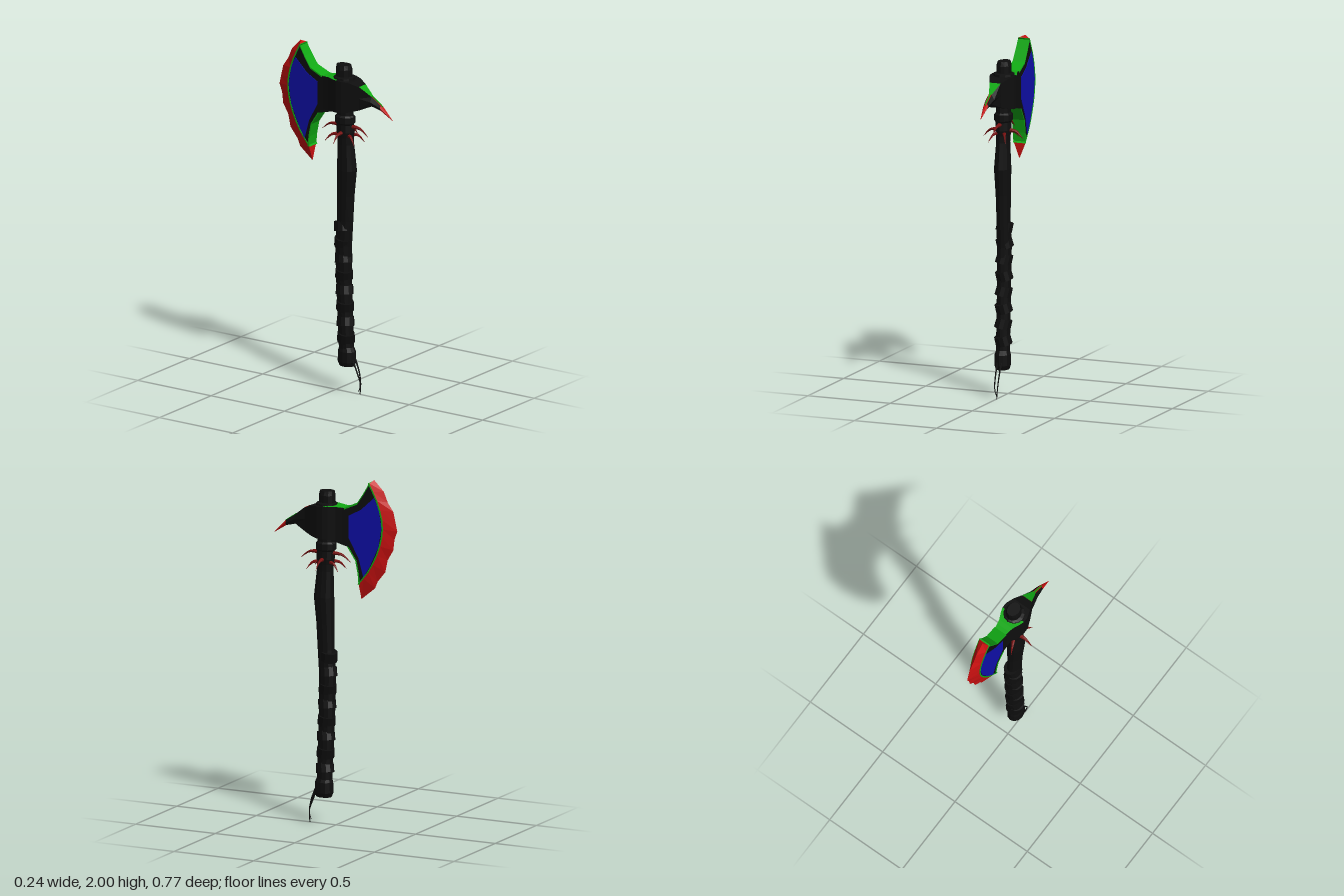
import * as THREE from 'three';

const mat = (name, color) => {
  const m = new THREE.MeshStandardMaterial({ color });
  m.name = name;
  return m;
};

export function createModel() {
  const black = mat('black', 0x0e0e0e);
  const green = mat('green', 0x11aa14);
  const red = mat('red', 0xc81010);
  const darkRed = mat('dark red', 0x781010);
  const blue = mat('blue', 0x0f0fa8);
  const palette = [black, green, red];
  const K = 0, G = 1, R = 2;

  const model = new THREE.Group();
  const add = (name, geometry, material, parent = model) => {
    const mesh = new THREE.Mesh(geometry, material);
    mesh.name = name;
    parent.add(mesh);
    return mesh;
  };

  // Flat-shaded skin through rings of [x, y, z]; paint(segment, side) picks a palette index
  function loft(rings, paint = () => K) {
    const pos = [], geo = new THREE.BufferGeometry();
    const tri = (...p) => p.forEach(v => pos.push(...v));
    const n = rings[0].length;
    for (let s = 0; s < rings.length - 1; s++) {
      for (let i = 0; i < n; i++) {
        const j = (i + 1) % n, a = rings[s], b = rings[s + 1];
        geo.addGroup(pos.length / 3, 6, paint(s, i));
        tri(a[i], b[i], b[j], a[i], b[j], a[j]);
      }
    }
    const last = rings[rings.length - 1];
    geo.addGroup(pos.length / 3, (n - 2) * 6, paint(0, 0));
    for (let i = 1; i < n - 1; i++) {
      tri(rings[0][0], rings[0][i], rings[0][i + 1]);
      tri(last[0], last[i + 1], last[i]);
    }
    geo.setAttribute('position', new THREE.Float32BufferAttribute(pos, 3));
    geo.computeVertexNormals();
    return geo;
  }

  // Blade half thickness thins toward the cutting edge
  const half = z => 0.029 + 0.035 * (z + 0.31);

  // Slab from a [z, y] outline, following the blade thickness
  function slab(points, extra = 0) {
    const shape = new THREE.Shape(points.map(([z, y]) => new THREE.Vector2(-z, y)));
    const geo = new THREE.ExtrudeGeometry(shape, { depth: 1, bevelEnabled: false });
    const p = geo.attributes.position;
    for (let i = 0; i < p.count; i++) {
      const z = -p.getX(i), side = p.getZ(i) > 0.5 ? 1 : -1;
      p.setXYZ(i, side * (half(z) + extra), p.getY(i), z);
    }
    geo.computeVertexNormals();
    return geo;
  }

  // Narrow band beside a [z, y] line
  const ribbon = (line, dz, dy) =>
    slab([...line, ...line.map(([z, y]) => [z + dz, y + dy]).reverse()], 0.003);

  // Handle: oval rings [y, centre z, radius x, radius z]
  const oval = ([y, zc, rx, rz]) => Array.from({ length: 12 }, (_, i) => {
    const a = i / 12 * Math.PI * 2;
    return [rx * Math.cos(a), y, zc + rz * Math.sin(a)];
  });
  const turned = (name, rows) => add(name, loft(rows.map(oval)), palette);
  turned('handle', [
    [0.24, 0.072, 0.038, 0.044], [0.6, 0.057, 0.038, 0.047], [0.85, 0.052, 0.04, 0.05],
    [1.0, 0.062, 0.037, 0.05], [1.15, 0.067, 0.04, 0.053], [1.3, 0.075, 0.046, 0.06],
    [1.45, 0.068, 0.037, 0.05], [1.66, 0.062, 0.04, 0.05]]);
  turned('pommel', [
    [0.155, 0.075, 0.036, 0.046], [0.18, 0.075, 0.045, 0.055],
    [0.24, 0.075, 0.044, 0.053], [0.265, 0.073, 0.036, 0.044]]);
  turned('collar', [
    [1.49, 0.066, 0.04, 0.051], [1.52, 0.066, 0.044, 0.054], [1.565, 0.064, 0.042, 0.052],
    [1.575, 0.062, 0.051, 0.06], [1.61, 0.062, 0.051, 0.06], [1.62, 0.062, 0.04, 0.05]]);
  turned('topCap', [
    [1.82, 0.058, 0.062, 0.062], [1.84, 0.058, 0.06, 0.06], [1.845, 0.056, 0.042, 0.048],
    [1.885, 0.056, 0.042, 0.048], [1.91, 0.054, 0.034, 0.044]]);

  // Leather wraps with alternating tilt
  const wraps = new THREE.Group();
  wraps.name = 'gripWraps';
  model.add(wraps);
  for (let i = 0; i < 8; i++) {
    const y = 0.32 + i * 0.092, tilt = i % 2 ? -1 : 1;
    const geo = new THREE.CylinderGeometry(0.044, 0.046, 0.055, 12).toNonIndexed();
    geo.scale(1, 1, 1.14);
    geo.computeVertexNormals();
    const wrap = add('wrap', geo, black, wraps);
    wrap.position.set(0, y, 0.071 - 0.035 * (y - 0.25));
    wrap.rotation.set(tilt * 0.16, 0, tilt * 0.2);
  }

  // Head block: rows [z, top, bottom, half width]
  const rect = ([z, t, b, w]) => [[w, b, z], [w, t, z], [-w, t, z], [-w, b, z]];
  add('headBlock', loft([
    [0.18, 1.805, 1.67, 0.034], [0.13, 1.825, 1.655, 0.057], [0.085, 1.83, 1.645, 0.073],
    [0.05, 1.832, 1.645, 0.074], [0.02, 1.832, 1.643, 0.064], [-0.02, 1.832, 1.64, 0.046],
    [-0.07, 1.828, 1.632, 0.036]].map(rect),
    (s, i) => (s >= 3 && i % 2 === 1 ? G : K)), palette);

  // Beak: rows [z, top, bottom, flat half width, middle half width]
  const hex = ([z, t, b, f, m]) => {
    const y = (t + b) / 2;
    return [[m, y, z], [f, t, z], [-f, t, z], [-m, y, z], [-f, b, z], [f, b, z]];
  };
  add('beak', loft([
    [0.385, 1.64, 1.638, 0.0005, 0.0005], [0.31, 1.715, 1.685, 0.007, 0.015],
    [0.25, 1.755, 1.7, 0.009, 0.025], [0.18, 1.807, 1.67, 0.033, 0.035]].map(hex),
    (s, i) => {
      if (s === 0) return R;
      if (i === 1) return s === 2 ? G : R;
      return i === 4 && s === 1 ? R : K;
    }), palette);

  // Green inlay along the beak ridge
  add('beakInlay', loft([
    [0.32, 1.71, 1.704, 0.002], [0.31, 1.719, 1.711, 0.003],
    [0.25, 1.759, 1.75, 0.004]].map(rect), () => G), palette);

  // Blade plate with green rim
  const outer = [[-0.24, 2.0], [-0.3, 1.94], [-0.325, 1.88], [-0.36, 1.83], [-0.375, 1.765],
    [-0.385, 1.72], [-0.367, 1.67], [-0.36, 1.61], [-0.325, 1.55], [-0.31, 1.48],
    [-0.262, 1.42], [-0.245, 1.38], [-0.16, 1.31]];
  const inner = new THREE.CatmullRomCurve3([[-0.225, 1.985], [-0.282, 1.87], [-0.31, 1.74],
    [-0.29, 1.62], [-0.23, 1.49], [-0.16, 1.4]].map(([z, y]) => new THREE.Vector3(0, y, z)))
    .getPoints(12).map(p => [p.z, p.y]);
  const topLine = [[0.03, 1.83], [-0.07, 1.83], [-0.15, 1.865], [-0.19, 1.925], [-0.225, 1.985]];
  const lowLine = [[-0.16, 1.4], [-0.155, 1.46], [-0.14, 1.535], [-0.09, 1.61], [0.03, 1.642]];
  add('blade', slab([...topLine, ...inner.slice(1), ...lowLine.slice(1)]), [black, green]);

  // Painted panels and trim on both faces
  add('bladePanel', slab([[-0.1, 1.79], [-0.175, 1.83], [-0.255, 1.905], [-0.283, 1.84],
    [-0.301, 1.74], [-0.282, 1.625], [-0.23, 1.51], [-0.19, 1.445], [-0.16, 1.55],
    [-0.1, 1.66]], 0.003), blue);
  add('edgeTrim', ribbon(inner, 0.008, 0), green);
  add('topTrim', ribbon(topLine.slice(1), 0, -0.009), green);
  add('lowerTrim', ribbon(lowLine.slice(0, 4), -0.007, 0), green);

  // Sharpened red edge, wedge shaped
  add('cuttingEdge', loft(inner.map(([z, y], i) => [
    [half(z), y, z], [0, outer[i][1], outer[i][0]], [-half(z), y, z]]), () => R), palette);

  // Tapered curved spike or cord through points
  function taper(points, radius, end) {
    const curve = new THREE.CatmullRomCurve3(points.map(p => new THREE.Vector3(...p)));
    const seg = 7, sides = 6;
    const geo = new THREE.TubeGeometry(curve, seg, radius, sides);
    const p = geo.attributes.position, v = new THREE.Vector3();
    for (let i = 0; i < p.count; i++) {
      const t = Math.floor(i / (sides + 1)) / seg;
      v.fromBufferAttribute(p, i).lerp(curve.getPointAt(t), t * (1 - end));
      p.setXYZ(i, v.x, v.y, v.z);
    }
    const flat = geo.toNonIndexed();
    flat.computeVertexNormals();
    return flat;
  }

  // Ring of thorns: tips [x, y, z] curving out and down from the collar
  const thorns = new THREE.Group();
  thorns.name = 'thorns';
  model.add(thorns);
  const tips = [[0, 1.51, 0.22], [0, 1.51, -0.095]];
  for (const s of [1, -1]) tips.push([s * 0.12, 1.475, 0.065], [s * 0.052, 1.46, 0.16], [s * 0.052, 1.46, -0.04]);
  for (const [x, y, z] of tips) {
    const at = (k, h) => [x * k, h, 0.065 + (z - 0.065) * k];
    add('thorn', taper([at(0.25, y + 0.045), at(0.65, y + 0.04), [x, y, z]], 0.013, 0.05), darkRed, thorns);
  }

  // Hanging cords
  for (const s of [1, -1]) {
    add('cord', taper([[s * 0.012, 0.2, 0.122], [s * 0.011, 0.13, 0.15],
      [s * 0.007, 0.06, 0.168 - s * 0.004], [s * 0.002, s > 0 ? 0 : 0.015, 0.16 + s * 0.003]], 0.005, 0.5), black);
  }

  return model;
}
